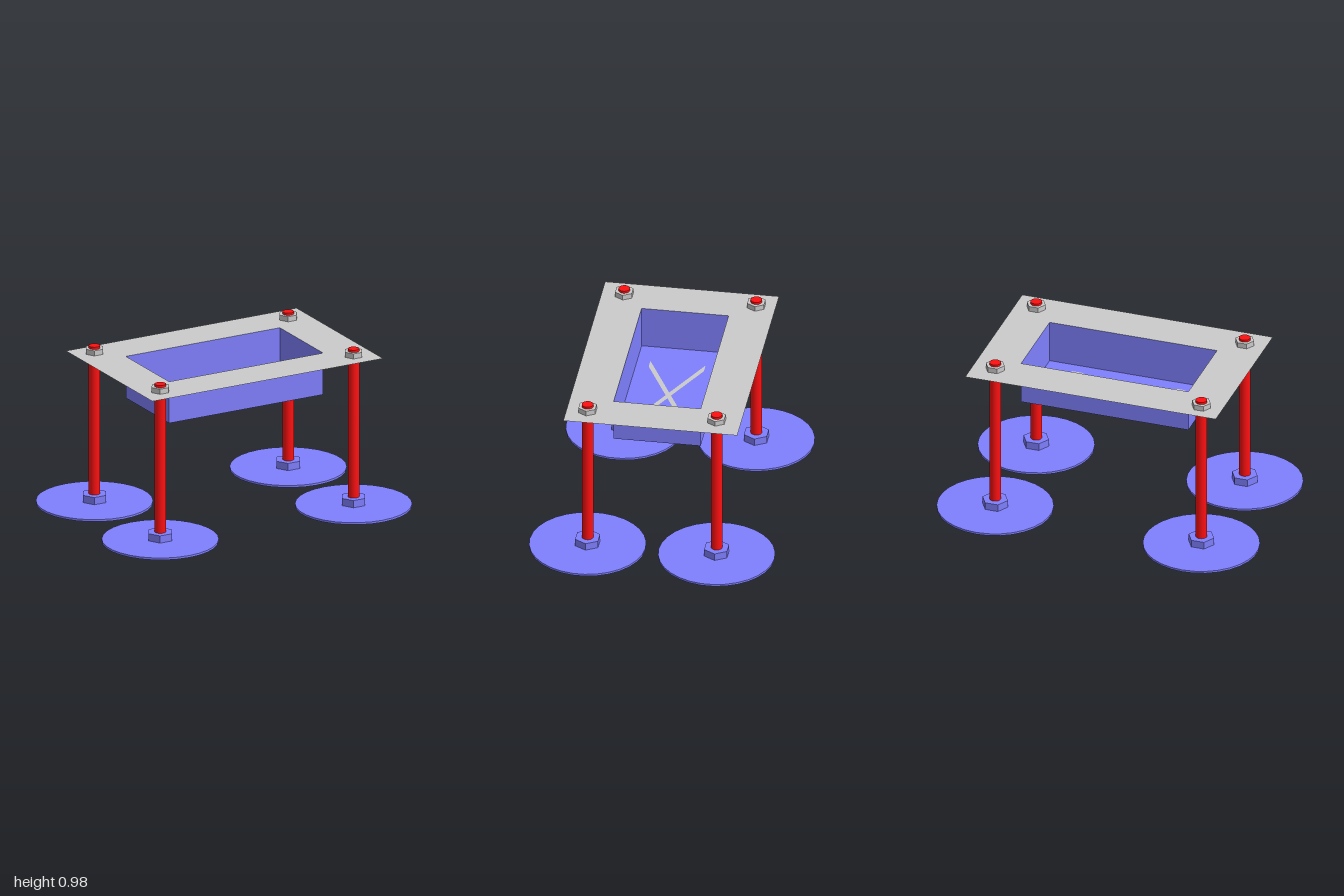
import * as THREE from 'three';

const material = (color) => new THREE.MeshStandardMaterial({ color, side: THREE.DoubleSide });
const BLUE = material(0x8080ff), RED = material(0xff1010), GREY = material(0xcccccc);

function add(parent, name, geometry, mat) {
  const mesh = new THREE.Mesh(geometry, mat);
  mesh.name = name;
  parent.add(mesh);
  return mesh;
}

// Upright cylinder spanning y0..y1
function post(parent, name, radius, y0, y1, sides, mat) {
  add(parent, name, new THREE.CylinderGeometry(radius, radius, y1 - y0, sides), mat)
    .position.y = (y0 + y1) / 2;
}

// Hexagonal nut with corners pointing along x
function nut(parent, name, radius, y0, y1, mat) {
  const geometry = new THREE.CylinderGeometry(radius, radius, y1 - y0, 6)
    .rotateY(Math.PI / 6).toNonIndexed();
  geometry.computeVertexNormals();
  add(parent, name, geometry, mat).position.y = (y0 + y1) / 2;
}

// Flat horizontal sheet from [x, z] corners, with an optional hole
function sheet(corners, hole) {
  const points = (list) => list.map(([x, z]) => new THREE.Vector2(x, -z));
  const shape = new THREE.Shape(points(corners));
  if (hole) shape.holes.push(new THREE.Path(points(hole)));
  return new THREE.ShapeGeometry(shape).rotateX(-Math.PI / 2);
}

const rectangle = (w, d) => [[-w / 2, d / 2], [w / 2, d / 2], [w / 2, -d / 2], [-w / 2, -d / 2]];

export function createModel() {
  const model = new THREE.Group();
  model.name = 'fourLeggedTray';

  // Legs: foot disc, foot nut, rod and top nut
  const spots = [[-0.66, -0.405], [0.637, -0.375], [-0.66, 0.385], [0.645, 0.395]];
  for (const [x, z] of spots) {
    const leg = new THREE.Group();
    leg.name = 'leg';
    leg.position.set(x, 0, z);
    post(leg, 'footDisc', 0.346, 0, 0.013, 30, BLUE);
    nut(leg, 'footNut', 0.079, 0.013, 0.058, BLUE);
    post(leg, 'rod', 0.034, 0.01, 0.982, 24, RED);
    nut(leg, 'topNut', 0.058, 0.936, 0.968, GREY);
    model.add(leg);
  }

  // Tray: flat rim around an open rectangular basin
  const tray = new THREE.Group();
  tray.name = 'tray';
  tray.position.x = -0.007;
  model.add(tray);
  const top = 0.935, floorY = 0.675, w = 1.044, d = 0.52, h = top - floorY;
  add(tray, 'rim', sheet(rectangle(1.564, 1.04), rectangle(w, d)), GREY).position.y = top;
  add(tray, 'basinFloor', sheet(rectangle(w, d)), BLUE).position.y = floorY;
  for (const s of [-1, 1]) {
    const long = add(tray, 'longWall', new THREE.PlaneGeometry(w, h), BLUE);
    long.position.set(0, floorY + h / 2, s * d / 2);
    long.rotation.y = s > 0 ? 0 : Math.PI;
    const short = add(tray, 'shortWall', new THREE.PlaneGeometry(d, h), BLUE);
    short.position.set(s * w / 2, floorY + h / 2, 0);
    short.rotation.y = s * Math.PI / 2;

    // Crossed bars showing on both faces of the floor
    const bar = [[-0.362, -s * 0.165], [-0.298, -s * 0.165], [0.362, s * 0.165], [0.298, s * 0.165]];
    for (const side of [-1, 1]) {
      add(tray, 'crossBar', sheet(bar), GREY).position.set(0, floorY + side * 0.0015, 0.017);
    }
  }

  return model;
}
